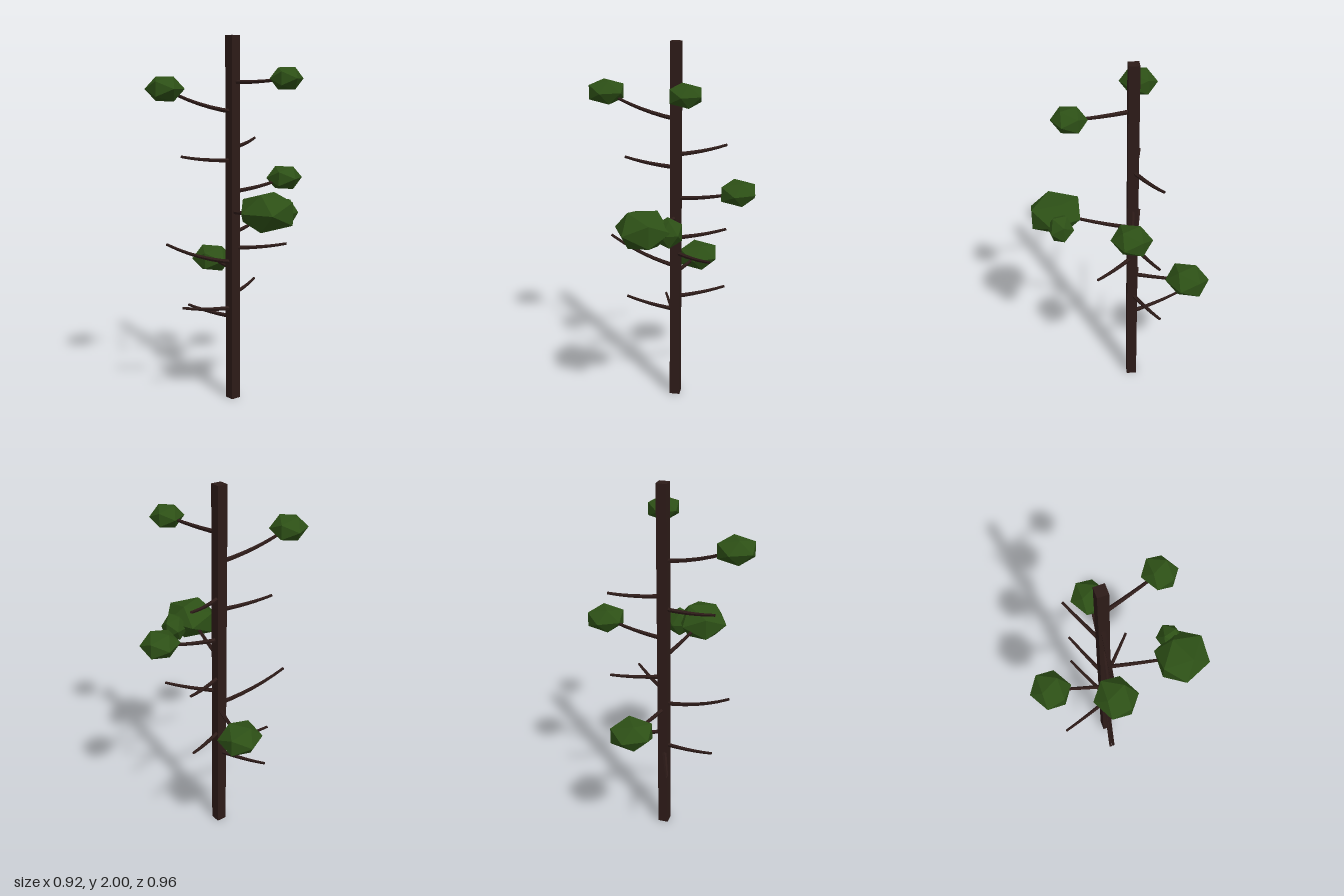
import * as THREE from 'three';

const TRUNK_X = 0.025, TRUNK_Z = -0.06;
const bark = new THREE.MeshStandardMaterial({ color: 0x2d1b18, flatShading: true });
const leaf = new THREE.MeshStandardMaterial({ color: 0x2d5016, flatShading: true });

// Tapered branch curving upward from the trunk to its tip
function branch(y, [tx, ty, tz]) {
  const curve = new THREE.QuadraticBezierCurve3(
    new THREE.Vector3(TRUNK_X, y, TRUNK_Z),
    new THREE.Vector3(
      TRUNK_X + (tx - TRUNK_X) * 0.55,
      y + (ty - y) * 0.32 - 0.008,
      TRUNK_Z + (tz - TRUNK_Z) * 0.55),
    new THREE.Vector3(tx, ty, tz));
  const segments = 6, sides = 5;
  const geo = new THREE.TubeGeometry(curve, segments, 0.0125, sides, false);
  const pos = geo.attributes.position;
  const p = new THREE.Vector3();
  for (let i = 0; i < pos.count; i++) {
    const t = Math.floor(i / (sides + 1)) / segments;
    const centre = curve.getPointAt(t);
    p.fromBufferAttribute(pos, i).sub(centre).multiplyScalar(1 - 0.4 * t).add(centre);
    pos.setXYZ(i, p.x, p.y, p.z);
  }
  const mesh = new THREE.Mesh(geo, bark.clone());
  mesh.material.side = THREE.DoubleSide; // tip is open
  return mesh;
}

// Flattened faceted leaf clump
function clump([x, y, z], radius, halfHeight, turn) {
  const geo = new THREE.IcosahedronGeometry(radius, 0);
  geo.scale(0.97, halfHeight / (0.85 * radius), 1.08);
  geo.rotateY(turn);
  const mesh = new THREE.Mesh(geo, leaf);
  mesh.position.set(x, y, z);
  mesh.name = 'leafClump';
  return mesh;
}

export function createModel() {
  const tree = new THREE.Group();
  tree.name = 'tree';

  // Square trunk
  const trunk = new THREE.Mesh(new THREE.BoxGeometry(0.056, 2, 0.056), bark);
  trunk.position.set(TRUNK_X, 1, TRUNK_Z);
  trunk.rotation.y = 0.06;
  trunk.name = 'trunk';
  tree.add(trunk);

  // Bare branches: height on trunk, tip
  const bare = [
    [1.41, [0.275, 1.445, -0.2]],
    [1.34, [-0.27, 1.37, -0.11]],
    [0.945, [0.28, 0.972, -0.19]],
    [0.86, [0.25, 0.888, 0.13]],
    [0.78, [-0.36, 0.912, -0.12]],
    [0.6, [0.275, 0.628, -0.2]],
    [0.52, [-0.27, 0.553, -0.11]],
    [0.47, [-0.095, 0.498, -0.33]],
  ];
  for (const [y, tip] of bare) {
    const b = branch(y, tip);
    b.name = 'bareBranch';
    tree.add(b);
  }

  // Leafy branches: height on trunk, clump centre, radius, half height, turn
  const leafy = [
    [1.6, [-0.367, 1.722, -0.105], 0.103, 0.062, 2.1],
    [1.755, [0.143, 1.775, 0.25], 0.09, 0.056, 2.15],
    [1.17, [0.365, 1.227, -0.04], 0.104, 0.063, 2.15],
    [1.06, [-0.05, 1.115, 0.348], 0.15, 0.094, 0.48],
    [0.745, [0.09, 0.745, -0.36], 0.12, 0.073, 2.15],
  ];
  for (const [y, centre, radius, half, turn] of leafy) {
    const b = branch(y, centre);
    b.name = 'leafyBranch';
    tree.add(b, clump(centre, radius, half, turn));
  }

  // Small clump beside the largest one
  tree.add(clump([0.075, 1.1, 0.32], 0.075, 0.07, 1.9));
  return tree;
}
